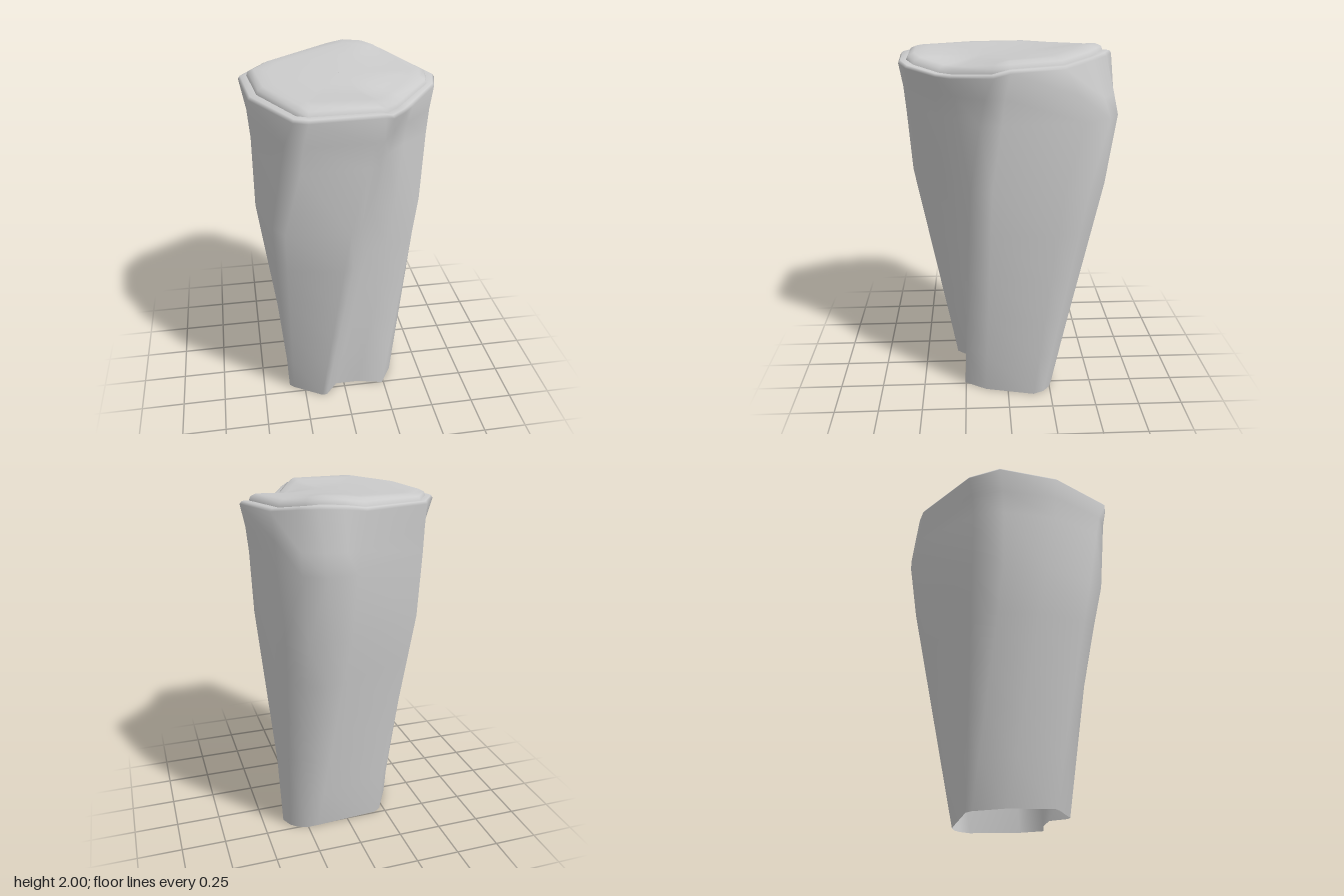
import * as THREE from 'three';

// Matching corners [x, z] of the column, clockwise from above, at four heights
const BASE = [[-.225, -.215], [-.185, -.242], [.19, -.265], [.25, -.266], [.31, -.245], [.35, -.21], [.378, -.15], [.315, .13],
  [.24, .255], [.09, .22], [-.05, .22], [-.12, .305], [-.15, .308], [-.315, .21], [-.342, .185], [-.318, -.05]];
const MIDDLE = [[-.46, -.1], [-.395, -.265], [.07, -.515], [.18, -.54], [.3, -.52], [.395, -.43], [.43, -.29], [.452, .09],
  [.418, .205], [.27, .265], [.13, .345], [.04, .5], [-.02, .53], [-.35, .49], [-.41, .41], [-.48, .14]];
const SHOULDER = [[-.475, -.1], [-.415, -.265], [.06, -.565], [.12, -.59], [.22, -.59], [.33, -.53], [.42, -.385], [.475, .04],
  [.45, .15], [.3, .265], [.195, .375], [.12, .52], [.06, .545], [-.27, .545], [-.36, .48], [-.478, .2]];
const RIM = [[-.52, -.13], [-.41, -.3], [.01, -.54], [.12, -.555], [.24, -.51], [.32, -.43], [.42, -.28], [.52, 0],
  [.5, .08], [.33, .295], [.275, .375], [.18, .53], [.13, .57], [-.23, .59], [-.3, .565], [-.485, .22]];
const INNER = [[-.475, -.13], [-.38, -.275], [.01, -.5], [.11, -.51], [.22, -.465], [.28, -.415], [.375, -.27], [.47, 0],
  [.455, .085], [.285, .283], [.235, .355], [.155, .49], [.11, .53], [-.225, .54], [-.28, .515], [-.44, .195]];
// Rim height at each corner: raised at the back, dipping over the groove
const RIM_Y = [1.92, 1.92, 1.95, 1.965, 1.965, 1.953, 1.925, 1.92, 1.895, 1.868, 1.87, 1.9, 1.92, 1.92, 1.92, 1.92];

const level = (pts, y) => pts.map(([x, z]) => new THREE.Vector3(x, y, z));
const rimLevel = (pts, dy = 0) => pts.map(([x, z], i) => new THREE.Vector3(x, RIM_Y[i] + dy, z));
const blend = (a, b, t) => a.map((p, i) => p.clone().lerp(b[i], t));

// Smooth skin over a stack of closed rings
function loft(rings) {
  const n = rings[0].length;
  const index = [];
  for (let r = 0; r < rings.length - 1; r++) {
    for (let i = 0; i < n; i++) {
      const a = r * n + i, b = r * n + (i + 1) % n;
      index.push(a, a + n, b + n, a, b + n, b);
    }
  }
  const geometry = new THREE.BufferGeometry().setFromPoints(rings.flat());
  geometry.setIndex(index);
  geometry.computeVertexNormals();
  return geometry;
}

// Height of the cap away from its border: border heights weighted by nearness
function capHeight(border, x, z) {
  let sum = 0, total = 0;
  for (const p of border) {
    const weight = 1 / ((p.x - x) ** 2 + (p.z - z) ** 2 + .02);
    sum += p.y * weight;
    total += weight;
  }
  return sum / total;
}

export function createModel() {
  const group = new THREE.Group();
  group.name = 'rockColumn';
  const material = new THREE.MeshStandardMaterial({ color: 0xcccccc, side: THREE.DoubleSide });
  const add = (name, geometry) => {
    const mesh = new THREE.Mesh(geometry, material);
    mesh.name = name;
    group.add(mesh);
  };

  // Twisted wall, open underneath, flaring out to a rounded rim (straight at the raised back)
  const base = level(BASE, 0), middle = level(MIDDLE, 1.28), shoulder = level(SHOULDER, 1.64);
  const rim = rimLevel(RIM), inner = rimLevel(INNER);
  const wall = [];
  for (let k = 0; k < 5; k++) wall.push(blend(base, middle, k / 5));
  const flare = blend(shoulder, rim, .35);
  flare.forEach((p, i) => { p.y += RIM_Y[i] > 1.93 ? 0 : .04; });
  wall.push(middle, shoulder, flare, rimLevel(RIM, -.015), blend(rim, inner, .25), inner);
  add('wall', loft(wall));

  // Softly swelling cap set inside the rim
  const lid = rimLevel(INNER, .035);
  const lidRing = (t) => lid.map((p) => {
    const x = p.x * (1 - t), z = p.z * (1 - t);
    return new THREE.Vector3(x, THREE.MathUtils.lerp(p.y, capHeight(lid, x, z), THREE.MathUtils.smoothstep(t, 0, .6)), z);
  });
  const capEdge = blend(inner, lidRing(.03), .6);
  add('cap', loft([inner, capEdge, ...[.08, .2, .35, .5, .65, .8, .999].map(lidRing)]));

  return group;
}
